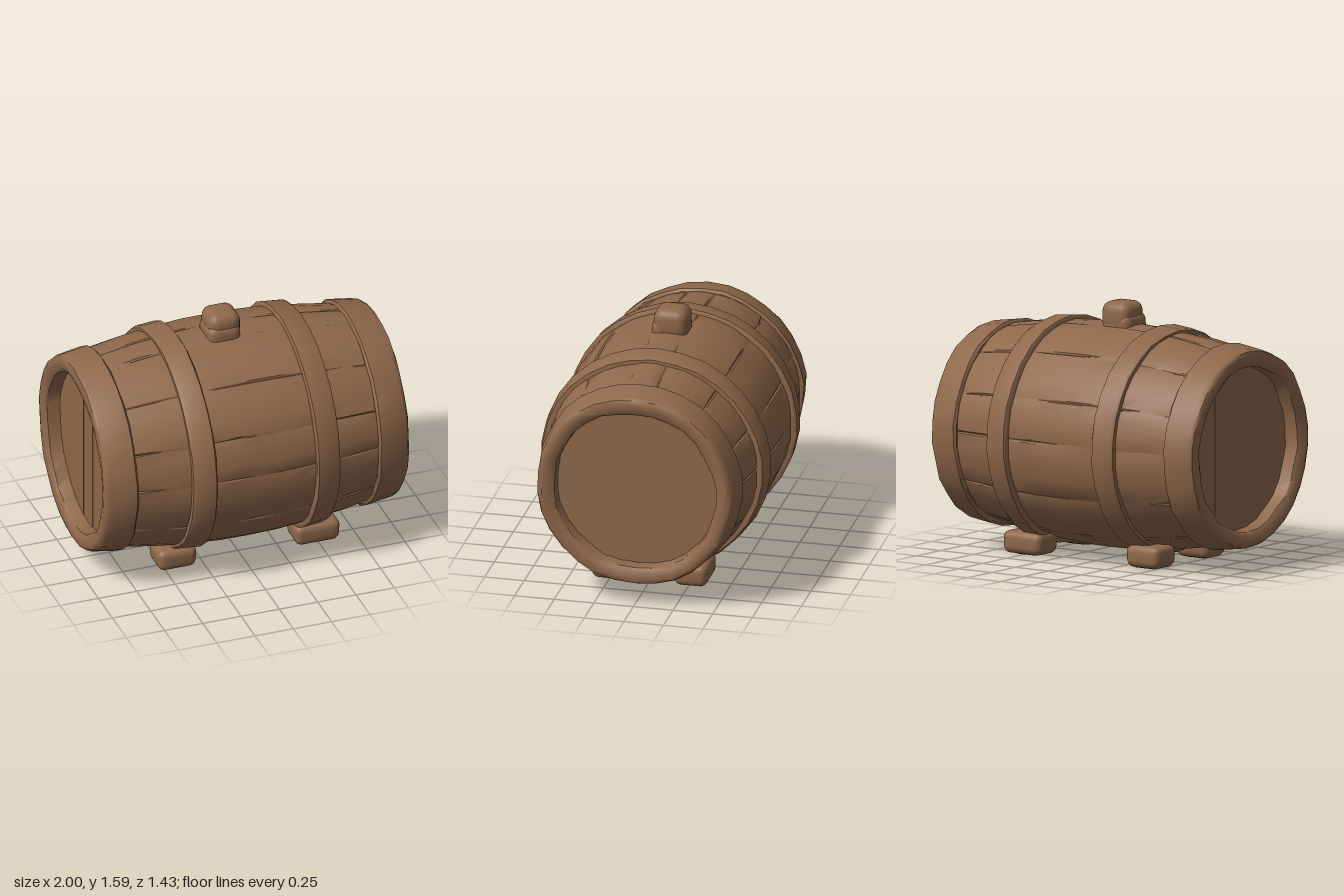
import * as THREE from 'three';
import { toCreasedNormals } from 'three/addons/utils/BufferGeometryUtils.js';
import { RoundedBoxGeometry } from 'three/addons/geometries/RoundedBoxGeometry.js';

const AXIS_Y = 0.755; // height of the barrel's axis, which runs along x

export function createModel() {
  const group = new THREE.Group();
  const wood = new THREE.MeshStandardMaterial({ color: 0x8f684b });
  wood.name = 'wood brown';

  let seed = 7;
  const rand = () => {
    seed = (seed * 16807) % 2147483647;
    return (seed / 2147483647) * 2 - 1;
  };

  function add(name, geometry, crease = 0.6) {
    const mesh = new THREE.Mesh(toCreasedNormals(geometry, crease), wood);
    mesh.name = name;
    group.add(mesh);
    return mesh;
  }

  // Surface around the x axis; point(i, j) gives [x, radius, angle from the top]
  function around(rows, cols, closed, point, flatten = 1) {
    const pos = [], index = [];
    for (let i = 0; i < rows; i++) {
      for (let j = 0; j < cols; j++) {
        const [x, r, a] = point(i, j);
        pos.push(x, AXIS_Y + r * Math.cos(a) * flatten, r * Math.sin(a));
      }
    }
    for (let i = 0; i < (closed ? rows : rows - 1); i++) {
      for (let j = 0; j < cols; j++) {
        const n = (i + 1) % rows, k = (j + 1) % cols;
        const a = i * cols + j, b = i * cols + k, c = n * cols + j, d = n * cols + k;
        index.push(a, b, c, b, d, c);
      }
    }
    const g = new THREE.BufferGeometry();
    g.setAttribute('position', new THREE.Float32BufferAttribute(pos, 3));
    g.setIndex(index);
    return g;
  }

  // Bulging body of uneven staves; the worn grooves between them come and go
  const half = [8, 38, 66, 88, 118, 148];
  const seams = [...half, ...half.map((d) => 360 - d).reverse()];
  const columns = [];
  seams.forEach((start, s) => {
    const end = s + 1 < seams.length ? seams[s + 1] : seams[0] + 360;
    const lift = rand() * 0.003, width = end - start;
    columns.push([start, 0, true], [start + 0.8, lift], [start + width / 3, lift + 0.004],
      [end - width / 3, lift + 0.004], [end - 0.8, lift]);
  });
  const xs = [-0.92, -0.78, -0.6, -0.45, -0.29, -0.15, 0, 0.2, 0.36, 0.5, 0.65, 0.78, 0.92];
  add('staves', around(xs.length, columns.length, false, (i, j) => {
    const x = xs[i], [deg, lift, groove] = columns[j];
    const offset = groove ? -0.005 + rand() * 0.006 : lift + rand() * 0.002;
    return [x, 0.689 - 0.118 * x * x + offset, THREE.MathUtils.degToRad(deg)];
  }), 0.7);

  // Hoops: closed [x, radius, roughness] outlines with a hand-hewn wobble
  function hoop(name, outline, sides, wobble, flatten) {
    const bumps = Array.from({ length: sides }, () => rand() * wobble);
    add(name, around(outline.length, sides, true, (i, j) => {
      const [x, r, rough = 1] = outline[i];
      const radius = r + bumps[j] * rough + rand() * wobble * 0.3;
      return [x + rand() * wobble * 0.6, radius, (j / sides) * Math.PI * 2];
    }, flatten), 0.8);
  }
  const middle = [[0.36, 0.64], [0.355, 0.704], [0.365, 0.72], [0.49, 0.709], [0.508, 0.698], [0.512, 0.62]];
  const rim = [[0.79, 0.57], [0.785, 0.628], [0.797, 0.643], [0.96, 0.62], [0.985, 0.608],
    [0.995, 0.585], [0.988, 0.535, 1.5], [0.97, 0.514, 1.8], [0.83, 0.51]];
  const mirror = (outline, shift = 0) => outline.map(([x, ...rest]) => [shift - x, ...rest]).reverse();
  hoop('leftMiddleHoop', middle, 30, 0.003, 0.978);
  hoop('rightMiddleHoop', mirror(middle, 0.06), 30, 0.003, 0.978);
  hoop('leftRim', rim, 30, 0.006, 1);
  hoop('rightRim', mirror(rim), 30, 0.006, 1);

  // Recessed heads made of upright planks
  const R = 0.54, planks = 7;
  for (const side of [1, -1]) {
    for (let p = 0; p < planks; p++) {
      const z0 = -R + (2 * R * p) / planks, z1 = z0 + (2 * R) / planks;
      const edge = [];
      for (let k = 0; k <= 6; k++) {
        const z = THREE.MathUtils.lerp(z0, z1, k / 6);
        edge.push([z, Math.sqrt(Math.max(0, R * R - z * z))]);
      }
      const shape = new THREE.Shape([
        ...edge.map(([z, h]) => new THREE.Vector2(z, -h)),
        ...edge.reverse().map(([z, h]) => new THREE.Vector2(z, h)),
      ]);
      const g = new THREE.ExtrudeGeometry(shape, { depth: 0.04 + rand() * 0.003, bevelEnabled: false });
      g.rotateY((side * Math.PI) / 2);
      g.translate(side * 0.845, AXIS_Y, 0);
      add((side > 0 ? 'left' : 'right') + 'HeadPlank', g);
    }
  }

  // Worn blocks: rounded boxes with a slight lean and taper
  function block(name, x, y, z, w, h, d, radius, taper) {
    const g = new RoundedBoxGeometry(w, h, d, 3, radius);
    const p = g.attributes.position;
    for (let i = 0; i < p.count; i++) {
      const t = p.getY(i) / h + 0.5;
      const s = 1 + taper * (t - 0.5);
      p.setXYZ(i, p.getX(i) * s + 0.02 * (t - 0.5) * p.getZ(i), p.getY(i), p.getZ(i) * s);
    }
    add(name, g, 0.8).position.set(x, y, z);
  }
  for (const z of [0.255, -0.265]) {
    block('rightFoot', -0.425, 0.075, z, 0.25, 0.14, 0.21, 0.045, 0.04);
    block('leftFoot', 0.49, 0.075, z, 0.29, 0.14, 0.21, 0.045, 0.04);
  }
  // Worn pads under the feet
  for (const x of [-0.42, 0.48]) {
    for (const z of [0.255, -0.265]) block('footPad', x, 0.03, z, 0.18, 0.06, 0.15, 0.025, 0.1);
  }

  // Bung on top, with its slightly wider lower half
  block('bung', -0.02, 1.495, -0.003, 0.208, 0.185, 0.212, 0.06, 0);
  block('bungBase', -0.028, 1.44, 0.005, 0.215, 0.16, 0.225, 0.055, 0);

  return group;
}
